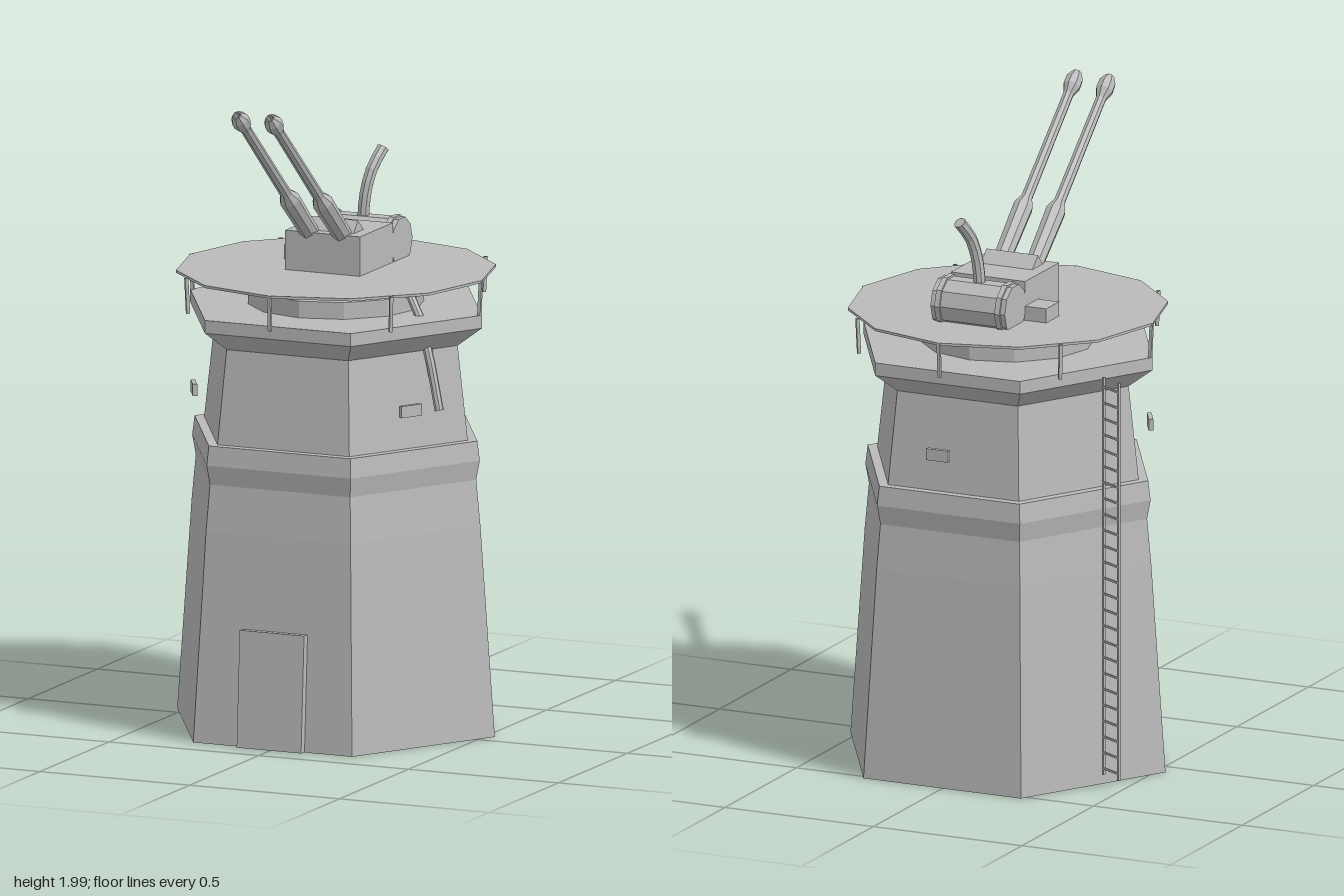
import * as THREE from 'three';

const CZ = -0.06; // tower axis
const concrete = new THREE.MeshStandardMaterial({ color: 0xbababa, flatShading: true, side: THREE.DoubleSide });
concrete.name = 'grey';

function add(parent, name, geometry, x = 0, y = 0, z = 0) {
  const mesh = new THREE.Mesh(geometry, concrete);
  mesh.name = name;
  mesh.position.set(x, y, z);
  parent.add(mesh);
  return mesh;
}

const box = (w, h, d) => new THREE.BoxGeometry(w, h, d);

// Faceted solid of revolution from [radius, height] pairs
function lathe(points, sides, start = 0) {
  return new THREE.LatheGeometry(points.map(([r, y]) => new THREE.Vector2(r, y)), sides, start);
}

// Bent pipe through a few points, closed at both ends
function pipe(parent, name, points, radius) {
  const path = points.map((p) => new THREE.Vector3(...p));
  const curve = new THREE.CatmullRomCurve3(path);
  const group = new THREE.Group();
  group.name = name;
  parent.add(group);
  add(group, name + 'Wall', new THREE.TubeGeometry(curve, 6, radius, 8));
  for (const t of [0, 1]) {
    const cap = add(group, name + 'End', new THREE.CircleGeometry(radius, 8));
    cap.position.copy(curve.getPoint(t));
    cap.quaternion.setFromUnitVectors(new THREE.Vector3(0, 0, 1), curve.getTangent(t));
  }
}

export function createModel() {
  const model = new THREE.Group();
  model.name = 'gunTower';

  // Hexagonal tower, open underneath, with a belt and a flared platform
  add(model, 'tower', lathe([
    [0.53, 0], [0.482, 0.65], [0.468, 0.79], [0.48, 0.85], [0.472, 0.91],
    [0.44, 0.91], [0.406, 1.2], [0.487, 1.26], [0.487, 1.3], [0, 1.3],
  ], 6, Math.PI / 6), 0, 0, CZ);

  // Door leaning with the wall
  const door = add(model, 'door', box(0.215, 0.36, 0.025), 0, 0.181, 0.403);
  door.rotation.x = -0.06;

  // Vision slits on every second face
  for (let i = 0; i < 3; i++) {
    const a = Math.PI / 3 + (i * 2 * Math.PI) / 3;
    const slit = add(model, 'visionSlit', box(0.075, 0.036, 0.014),
      Math.sin(a) * 0.43 - Math.cos(a) * 0.028, 1.038,
      CZ + Math.cos(a) * 0.43 + Math.sin(a) * 0.028);
    slit.rotation.y = a;
  }

  // Ladder
  const ladder = new THREE.Group();
  ladder.name = 'ladder';
  ladder.position.set(-0.47, 0, -0.315);
  ladder.rotation.y = -Math.atan2(0.04, 0.07);
  model.add(ladder);
  for (const s of [-1, 1]) add(ladder, 'ladderRail', box(0.008, 1.25, 0.008), s * 0.04, 0.665);
  for (let i = 0; i < 25; i++) add(ladder, 'ladderRung', box(0.08, 0.006, 0.006), 0, 0.06 + i * 0.05);

  // Turret ring under a thin deck on posts
  add(model, 'turretRing', lathe([[0.268, 1.3], [0.268, 1.352], [0.21, 1.385], [0, 1.385]], 12), 0, 0, CZ);
  add(model, 'deck', new THREE.CylinderGeometry(0.487, 0.487, 0.008, 12), 0, 1.404, CZ);
  for (let i = 0; i < 8; i++) {
    const a = (i * Math.PI) / 4;
    const post = add(model, 'deckPost', box(0.01, 0.11, 0.01),
      Math.sin(a) * 0.481, 1.353, CZ + Math.cos(a) * 0.481);
    post.rotation.set(0.05, a, 0, 'YXZ');
  }

  // Drain pipe running down from the ring
  pipe(model, 'drainPipe', [
    [0.22, 1.385, -0.015], [0.285, 1.345, 0.005], [0.35, 1.21, 0.04], [0.4, 1.02, 0.06],
  ], 0.014);

  // Gun housing with side box
  add(model, 'gunHousing', box(0.25, 0.15, 0.238), 0, 1.455, -0.081);
  add(model, 'sideBox', box(0.072, 0.075, 0.09), -0.16, 1.415, -0.155);

  // Rear drum with two bands
  const drum = (name, radius, width, x) => {
    const part = add(model, name, new THREE.CylinderGeometry(radius, radius, width, 10), x, 1.46, -0.267);
    part.rotation.z = Math.PI / 2;
  };
  drum('rearDrum', 0.076, 0.25, 0);
  for (const s of [-1, 1]) drum('drumBand', 0.082, 0.017, s * 0.101);

  pipe(model, 'exhaustPipe', [
    [-0.005, 1.52, -0.268], [0, 1.59, -0.27], [0.013, 1.67, -0.29], [0.03, 1.73, -0.335],
  ], 0.019);

  // Twin guns raised about 41 degrees
  const guns = new THREE.Group();
  guns.name = 'twinGuns';
  guns.position.set(0, 1.49, -0.03);
  guns.rotation.x = Math.PI / 2 - 0.715;
  model.add(guns);
  add(guns, 'mantlet', box(0.174, 0.1, 0.07), 0, 0, -0.022);
  const barrel = lathe([
    [0, 0], [0.028, 0], [0.032, 0.25], [0.018, 0.285], [0.0165, 0.67], [0.028, 0.7],
    [0.027, 0.728], [0.014, 0.752], [0.01, 0.752], [0.01, 0.72], [0, 0.72],
  ], 8);
  for (const s of [-1, 1]) add(guns, 'barrel', barrel, s * 0.055);

  return model;
}
